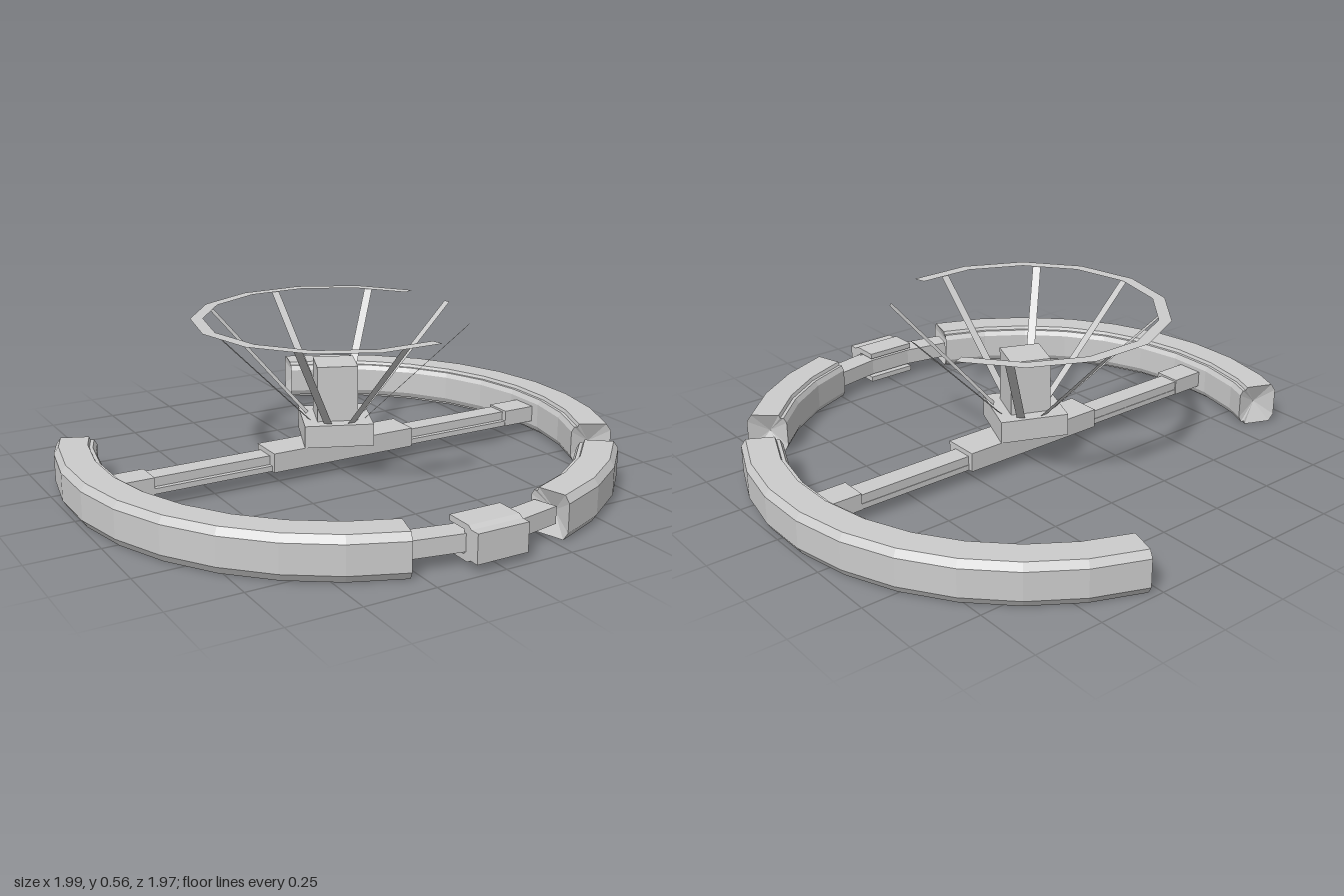
import * as THREE from 'three';

const CZ = -0.03; // centre of the rings in z
const DEG = Math.PI / 180;
const mat = new THREE.MeshStandardMaterial({ color: 0xcccccc, flatShading: true });
const thinMat = new THREE.MeshStandardMaterial({ color: 0xcccccc, flatShading: true, side: THREE.DoubleSide });

function meshFrom(points, name, material = mat) {
  const g = new THREE.BufferGeometry().setFromPoints(points);
  g.computeVertexNormals();
  const m = new THREE.Mesh(g, material);
  m.name = name;
  return m;
}

const polar = (r, y, deg) =>
  new THREE.Vector3(r * Math.cos(deg * DEG), y, CZ + r * Math.sin(deg * DEG));

// Sweeps a closed [radius, y] section along part of a 32-sided ring, with recessed ends
const STEP = 360 / 32;
function ringArc(section, from, to, recess, name) {
  const at = ([r, y], a) => {
    const off = (a - STEP * Math.floor(a / STEP + 0.5)) * DEG;
    return polar(r * Math.cos(STEP / 2 * DEG) / Math.cos(off), y, a);
  };
  const angles = [];
  for (let a = from; a < to - 0.01; a += STEP) angles.push(a);
  angles.push(to);
  const n = section.length, out = [];
  const rs = section.map(p => p[0]);
  const mid = [(Math.min(...rs) + Math.max(...rs)) / 2, 0.08];
  const first = at(mid, from + recess), last = at(mid, to - recess);
  for (let i = 0; i < n; i++) {
    const p = section[i], q = section[(i + 1) % n];
    for (let k = 0; k + 1 < angles.length; k++) {
      const a = at(p, angles[k]), b = at(q, angles[k]);
      const c = at(q, angles[k + 1]), d = at(p, angles[k + 1]);
      out.push(a, b, c, a, c, d);
    }
    out.push(at(q, from), at(p, from), first, at(p, to), at(q, to), last);
  }
  return meshFrom(out, name);
}

function box(name, w, h, d, x, y, z) {
  const m = new THREE.Mesh(new THREE.BoxGeometry(w, h, d), mat);
  m.position.set(x, y, z);
  m.name = name;
  return m;
}

export function createModel() {
  const root = new THREE.Group();
  root.name = 'ringStation';

  // Broken outer ring: bevelled hull with a small inner ledge
  const hull = [
    [1.002, 0.03], [1.002, 0.13], [0.985, 0.155], [0.885, 0.155], [0.88, 0.143], [0.868, 0.143],
    [0.858, 0.125], [0.858, 0.035], [0.868, 0.015], [0.88, 0.015], [0.885, 0.003], [0.985, 0.003],
  ];
  root.add(
    ringArc(hull, -73.125, 28.125, 2, 'outerRingLeft'),
    ringArc(hull, 39.375, 73.125, 2, 'outerRingFront'),
    ringArc(hull, 106.875, 202.5, 2, 'outerRingRight'),
  );

  // Narrow link between ring sections, passing through the dock
  const link = [[0.955, 0.05], [0.955, 0.11], [0.87, 0.11], [0.87, 0.05]];
  root.add(ringArc(link, 73.125, 106.875, 0, 'ringLink'));

  // Front dock: a channel that opens towards the hub
  const profile = new THREE.Shape([
    [0.83, 0.02], [0.93, 0.02], [0.945, 0.03], [0.98, 0.03], [0.98, 0.13], [0.945, 0.13],
    [0.93, 0.14], [0.83, 0.14], [0.83, 0.12], [0.91, 0.12], [0.91, 0.04], [0.83, 0.04],
  ].map(([z, y]) => new THREE.Vector2(z, y)));
  const dock = new THREE.Mesh(
    new THREE.ExtrudeGeometry(profile, { depth: 0.19, bevelEnabled: false }), mat);
  dock.rotation.y = -Math.PI / 2;
  dock.position.x = 0.095;
  dock.name = 'dock';
  root.add(dock);

  // Cross arm with a stepped outline
  root.add(box('armCentre', 0.57, 0.07, 0.13, 0, 0.085, CZ));
  for (const s of [1, -1]) {
    root.add(box('arm', 0.46, 0.045, 0.075, s * 0.51, 0.08, CZ - 0.008));
    root.add(box('armRail', 0.46, 0.02, 0.095, s * 0.51, 0.06, CZ));
    root.add(box('armEnd', 0.15, 0.06, 0.1, s * 0.8, 0.08, CZ));
  }

  // Hub block and tower, turned together
  const hub = new THREE.Group();
  hub.name = 'hub';
  hub.position.set(-0.004, 0, CZ);
  hub.rotation.y = -22.5 * DEG;
  hub.add(box('hubBase', 0.245, 0.08, 0.245, 0, 0.16, 0));
  hub.add(box('tower', 0.145, 0.2, 0.145, 0, 0.3, 0));
  root.add(hub);

  // Flat spokes rising from the hub
  for (let i = 0; i < 8; i++) {
    const a = i * 45 * DEG;
    const side = new THREE.Vector3(-Math.sin(a), 0, Math.cos(a)).multiplyScalar(0.015);
    const lo = polar(0.105, 0.195, i * 45), hi = polar(0.472, 0.565, i * 45);
    const p = lo.clone().add(side), q = lo.clone().sub(side);
    const r = hi.clone().sub(side), t = hi.clone().add(side);
    root.add(meshFrom([p, r, q, p, t, r], 'spoke', thinMat));
  }

  // Open upper ring: flat ribbon along ten sides of a 14-sided circle
  const ribbon = [], turn = 360 / 14;
  for (let k = 3; k < 13; k++) {
    const a = k * turn, b = a + turn;
    const p = polar(0.468, 0.565, a), q = polar(0.513, 0.565, a);
    const r = polar(0.513, 0.565, b), t = polar(0.468, 0.565, b);
    ribbon.push(p, r, q, p, t, r);
  }
  root.add(meshFrom(ribbon, 'upperRing', thinMat));

  return root;
}
